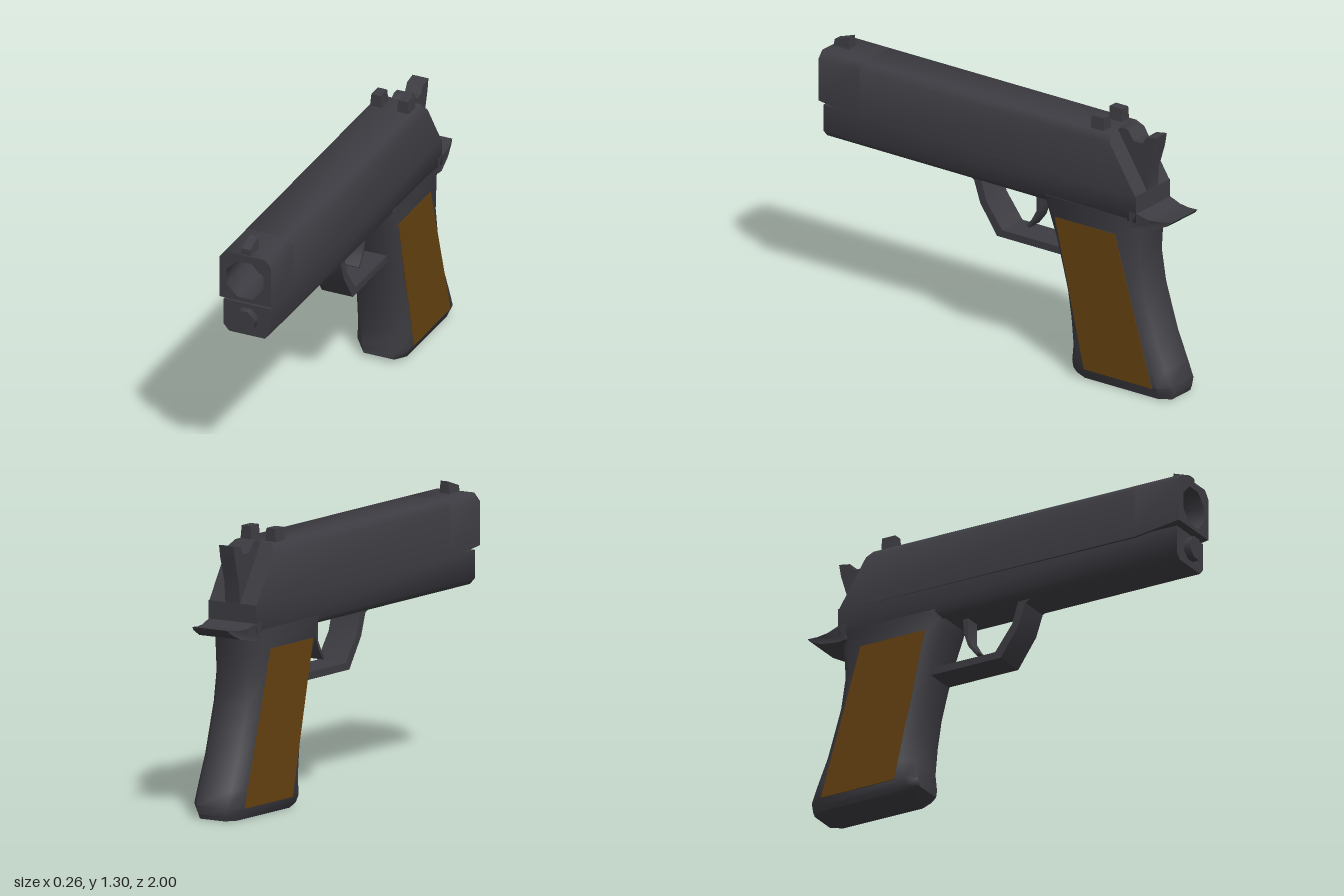
import * as THREE from 'three';
import { toCreasedNormals } from 'three/addons/utils/BufferGeometryUtils.js';

const steel = new THREE.MeshStandardMaterial({ color: 0x3d3c42 });
steel.name = 'dark steel';
const wood = new THREE.MeshStandardMaterial({ color: 0x654210 });
wood.name = 'brown grip';

export function createModel() {
  const model = new THREE.Group();

  const add = (name, geometry, material = steel, crease = 0.9) => {
    const mesh = new THREE.Mesh(toCreasedNormals(geometry, crease), material);
    mesh.name = name;
    model.add(mesh);
    return mesh;
  };

  // Side profile of [z, y] points, extruded across x and centred on x.
  const sideProfile = (points, width, x = 0) => {
    const shape = new THREE.Shape(points.map(([z, y]) => new THREE.Vector2(-z, y)));
    return new THREE.ExtrudeGeometry(shape, { depth: width, bevelEnabled: false })
      .rotateY(Math.PI / 2).translate(x - width / 2, 0, 0);
  };

  // Front outline (right half, mirrored) extruded along z.
  const frontProfile = (half, z0, z1, hole) => {
    const left = half.map(([x, y]) => [-x, y]).reverse();
    const shape = new THREE.Shape([...half, ...left].map(([x, y]) => new THREE.Vector2(x, y)));
    if (hole) shape.holes.push(hole);
    return new THREE.ExtrudeGeometry(shape, { depth: z1 - z0, bevelEnabled: false }).translate(0, 0, z0);
  };

  const moveVertices = (geometry, rule) => {
    const pos = geometry.attributes.position;
    const v = new THREE.Vector3();
    for (let i = 0; i < pos.count; i++) {
      rule(v.fromBufferAttribute(pos, i));
      pos.setXYZ(i, v.x, v.y, v.z);
    }
    return geometry;
  };

  // Slide with a slanted rear face
  const slideHalf = [[0.13, 0.97], [0.13, 1.205], [0.1, 1.24]];
  add('slide', moveVertices(frontProfile(slideHalf, -0.82, 0.75), (v) => {
    if (v.z < -0.8) v.z += ((v.y - 0.97) / 0.27) * 0.17;
  }));

  // Muzzle end with an octagonal bore
  const bore = new THREE.Path();
  for (let i = 0; i < 8; i++) {
    const a = ((i + 0.5) * Math.PI) / 4;
    const x = Math.cos(a) * 0.1;
    const y = 1.112 + Math.sin(a) * 0.1;
    if (i) bore.lineTo(x, y);
    else bore.moveTo(x, y);
  }
  bore.closePath();
  add('muzzle', moveVertices(frontProfile(slideHalf, 0.75, 0.985, bore), (v) => {
    if (v.z > 0.9 && v.y < 0.98) v.y = 1.0;
  }));

  // Frame under the slide, narrowing a little at the nose
  const frameHalf = [[0.1, 0.82], [0.13, 0.85], [0.13, 0.98]];
  add('frame', moveVertices(frontProfile(frameHalf, -0.82, 0.965), (v) => {
    if (v.z > 0.9) v.x *= 0.9;
  }));

  // Guide rod end below the muzzle
  add('guideRod', new THREE.CylinderGeometry(0.057, 0.057, 0.1, 8)
    .rotateY(Math.PI / 8).rotateX(Math.PI / 2).translate(0, 0.905, 0.95));

  // Sights, tapered towards the top
  const taper = (geometry, cx) => moveVertices(geometry, (v) => {
    if (v.y > 1.25) v.x = cx + (v.x - cx) * 0.75;
  });
  add('frontSight', taper(sideProfile([[0.975, 1.23], [0.975, 1.268], [0.89, 1.297], [0.89, 1.23]], 0.056), 0));
  for (const side of [-1, 1]) {
    const cx = side * 0.068;
    add(side > 0 ? 'leftRearSight' : 'rightRearSight',
      taper(sideProfile([[-0.54, 1.23], [-0.54, 1.3], [-0.61, 1.3], [-0.61, 1.23]], 0.062, cx), cx));
  }

  // Hammer
  add('hammer', sideProfile([
    [-0.64, 1.235], [-0.67, 1.253], [-0.705, 1.253], [-0.74, 1.205], [-0.79, 1.205],
    [-0.81, 1.24], [-0.868, 1.25], [-0.858, 1.19], [-0.825, 1.08], [-0.815, 0.95], [-0.72, 0.95],
  ], 0.08), steel, 0.6);

  // Tail above the grip, narrowing to its tip
  add('tail', moveVertices(sideProfile([
    [-0.78, 0.9], [-0.82, 0.895], [-0.88, 0.878], [-0.94, 0.877], [-1, 0.885],
    [-0.985, 0.868], [-0.92, 0.835], [-0.82, 0.815], [-0.78, 0.82],
  ], 0.26), (v) => {
    v.x *= 1 - 0.25 * Math.max(0, (-v.z - 0.84) / 0.16);
  }));

  // Grip lofted from chamfered cross-sections: y, front z, back z, width scale
  const rows = [
    [0, -0.46, -0.98, 0.8], [0.02, -0.422, -0.985, 0.86], [0.06, -0.424, -0.986, 1],
    [0.14, -0.432, -0.955, 1], [0.27, -0.42, -0.9, 1], [0.4, -0.4, -0.86, 1],
    [0.5, -0.375, -0.83, 1], [0.65, -0.335, -0.806, 1], [0.76, -0.295, -0.813, 1],
    [0.86, -0.26, -0.82, 1],
  ];
  const positions = [];
  const index = [];
  rows.forEach(([y, f, b, s], r) => {
    const ring = [
      [-0.085, f], [0.085, f], [0.13, f - 0.05], [0.13, b + 0.05],
      [0.085, b], [-0.085, b], [-0.13, b + 0.05], [-0.13, f - 0.05],
    ];
    ring.forEach(([x, z], i) => {
      positions.push(x * s, y, z);
      if (r === rows.length - 1) return;
      const a = r * 8 + i;
      const n = r * 8 + ((i + 1) % 8);
      index.push(a, n, n + 8, a, n + 8, a + 8);
    });
  });
  const top = (rows.length - 1) * 8;
  for (let i = 1; i < 7; i++) index.push(0, i + 1, i, top, top + i, top + i + 1);
  const grip = new THREE.BufferGeometry();
  grip.setAttribute('position', new THREE.Float32BufferAttribute(positions, 3));
  grip.setIndex(index);
  add('grip', grip);

  // Brown grip panels
  const panel = [[-0.36, 0.765], [-0.7, 0.765], [-0.91, 0.055], [-0.525, 0.055]];
  for (const side of [-1, 1]) {
    add(side > 0 ? 'leftGripPanel' : 'rightGripPanel', sideProfile(panel, 0.006, side * 0.129), wood);
  }

  // Trigger guard and trigger
  add('triggerGuard', sideProfile([
    [0.19, 0.83], [0.14, 0.805], [0.105, 0.7], [0.01, 0.56], [-0.4, 0.56], [-0.4, 0.595],
    [-0.02, 0.595], [0.07, 0.715], [0.105, 0.83],
  ], 0.155), steel, 0.5);
  add('trigger', sideProfile([
    [-0.185, 0.84], [-0.187, 0.72], [-0.16, 0.67], [-0.13, 0.635], [-0.143, 0.625],
    [-0.185, 0.68], [-0.205, 0.74], [-0.215, 0.84],
  ], 0.08));

  return model;
}
